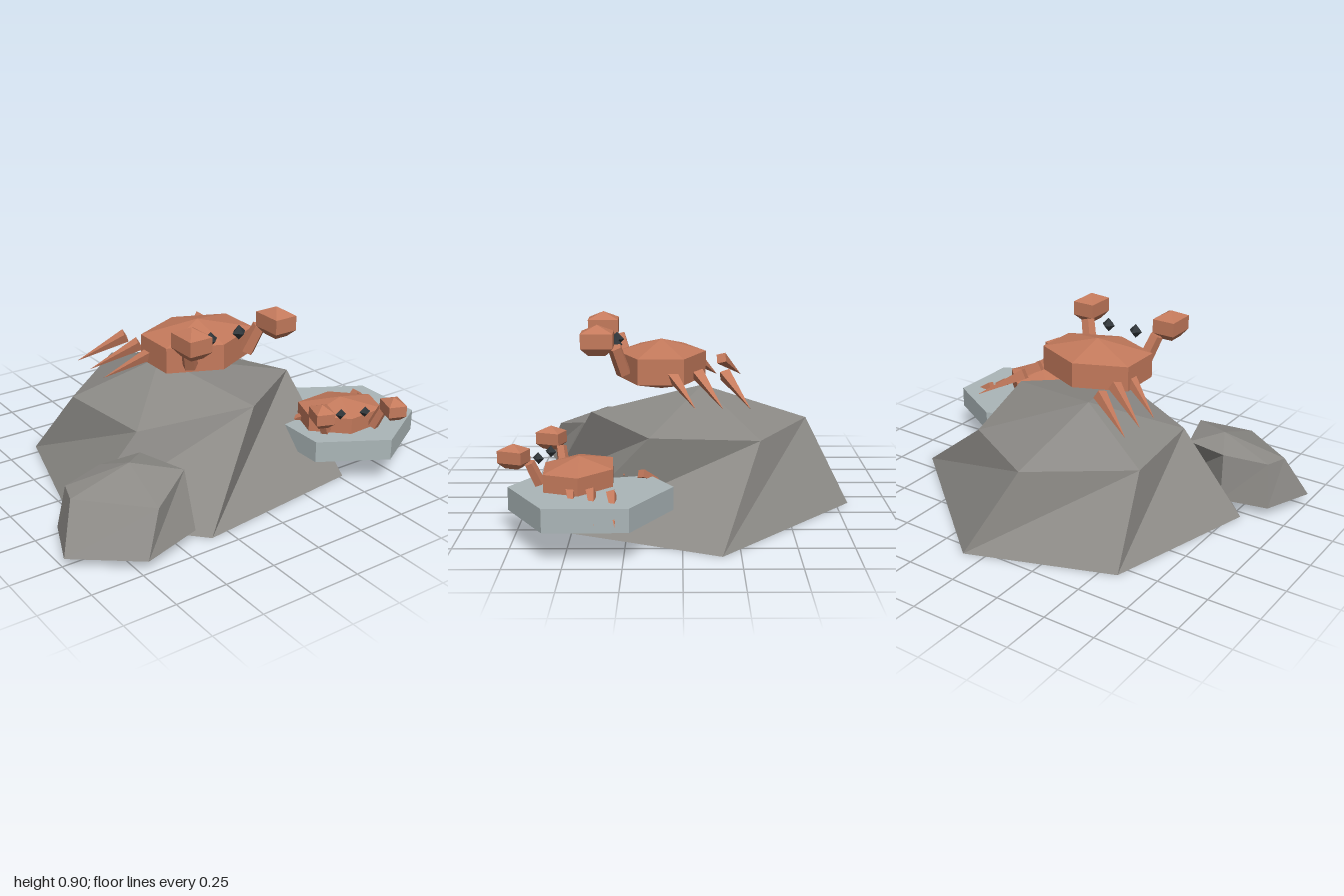
import * as THREE from 'three';

const mat = (name, color) => {
  const m = new THREE.MeshStandardMaterial({ color, flatShading: true });
  m.name = name;
  return m;
};

export function createModel() {
  const rock = mat('rock grey', 0x8c8a86);
  const slate = mat('pale slab', 0xabb6b8);
  const shell = mat('shell orange', 0xc47a5c);
  const eye = mat('eye black', 0x30363a);
  const root = new THREE.Group();

  const add = (parent, name, geo, material, x = 0, y = 0, z = 0) => {
    const m = new THREE.Mesh(geo, material);
    m.name = name;
    m.position.set(x, y, z);
    parent.add(m);
    return m;
  };

  // Boulder: a base outline [x, z], a shoulder ring and a peak [x, y, z]
  const boulder = (name, floor, outline, ring, peak) => {
    const base = outline.map(([x, z]) => [x, floor, z]);
    const pos = [];
    const n = base.length;
    const mid = [peak[0], floor, peak[2]];
    for (let i = 0; i < n; i++) {
      const j = (i + 1) % n;
      pos.push(...base[j], ...base[i], ...ring[i]);
      pos.push(...base[j], ...ring[i], ...ring[j]);
      pos.push(...ring[j], ...ring[i], ...peak);
      pos.push(...base[i], ...base[j], ...mid);
    }
    const g = new THREE.BufferGeometry();
    g.setAttribute('position', new THREE.Float32BufferAttribute(pos, 3));
    g.computeVertexNormals();
    add(root, name, g, rock);
  };

  boulder('largeRock', 0,
    [[-0.58, -0.56], [0.1, -0.81], [0.855, -0.17], [0.52, 0.57], [-0.34, 0.675], [-0.79, 0.21]],
    [[-0.505, 0.375, -0.27], [-0.08, 0.39, -0.615], [0.36, 0.38, -0.36],
      [0.49, 0.425, 0.15], [0.06, 0.45, 0.44], [-0.45, 0.375, 0.23]],
    [-0.11, 0.55, -0.1]);
  boulder('smallRock', 0.05,
    [[-0.9, 0.275], [-0.67, 0.225], [-0.38, 0.4], [-0.41, 0.645], [-0.715, 0.74], [-1, 0.52]],
    [[-0.87, 0.265, 0.31], [-0.66, 0.28, 0.25], [-0.46, 0.29, 0.27],
      [-0.385, 0.29, 0.52], [-0.61, 0.235, 0.66], [-0.905, 0.262, 0.42]],
    [-0.59, 0.33, 0.39]);

  // Flat six-sided stone
  add(root, 'flatStone', new THREE.CylinderGeometry(0.363, 0.363, 0.105, 6), slate, 0.64, 0.193, 0.403);

  // Tapered rod from point a to point b
  const up = new THREE.Vector3(0, 1, 0);
  const rod = (parent, name, a, b, rA, rB, sides) => {
    const p = new THREE.Vector3(...a), q = new THREE.Vector3(...b);
    const d = q.clone().sub(p);
    const m = add(parent, name, new THREE.CylinderGeometry(rB, rA, d.length(), sides), shell);
    m.position.copy(p).add(q).multiplyScalar(0.5);
    m.quaternion.setFromUnitVectors(up, d.normalize());
  };

  // Faceted solid turned from [radius, y] pairs
  const turned = (pts, sides, phase) =>
    new THREE.LatheGeometry(pts.map(([r, y]) => new THREE.Vector2(r, y)), sides, phase);

  // Crab with its underside at y = 0, facing +z
  const crab = (name) => {
    const g = new THREE.Group();
    g.name = name;
    const body = turned([[0, 0], [0.284, 0.062], [0.284, 0.185], [0, 0.245]], 6, 0);
    add(g, 'body', body.scale(1, 1, 0.76), shell);
    for (const s of [-1, 1]) {
      const side = s > 0 ? 'left' : 'right';
      // Claws: square, with a peaked top and a bevelled foot
      const r = Math.SQRT2;
      const claw = turned([[0, 0], [0.55 * r, 0], [r, 0.034], [r, 0.104], [0, 0.14]], 4, Math.PI / 4);
      add(g, side + 'Claw', claw.scale(0.058, 1, 0.075), shell, s * 0.235, 0.207, 0.295);
      rod(g, side + 'Arm', [s * 0.16, 0.105, 0.175], [s * 0.203, 0.235, 0.215], 0.037, 0.034, 5);
      add(g, side + 'Eye', new THREE.OctahedronGeometry(0.036), eye, s * 0.08, 0.23, 0.22);
      // Three pointed legs on each side
      for (let i = 0; i < 3; i++) {
        rod(g, side + 'Leg', [s * 0.215, 0.11, -0.05 - i * 0.125],
          [s * 0.425, -0.012, -0.16 - i * 0.125], 0.034, 0, 4);
      }
    }
    root.add(g);
    return g;
  };

  crab('largeCrab').position.set(-0.025, 0.55, 0.1);
  const small = crab('smallCrab');
  small.position.set(0.58, 0.184, 0.457);
  small.rotation.y = -0.36;
  small.scale.setScalar(0.76);

  return root;
}
